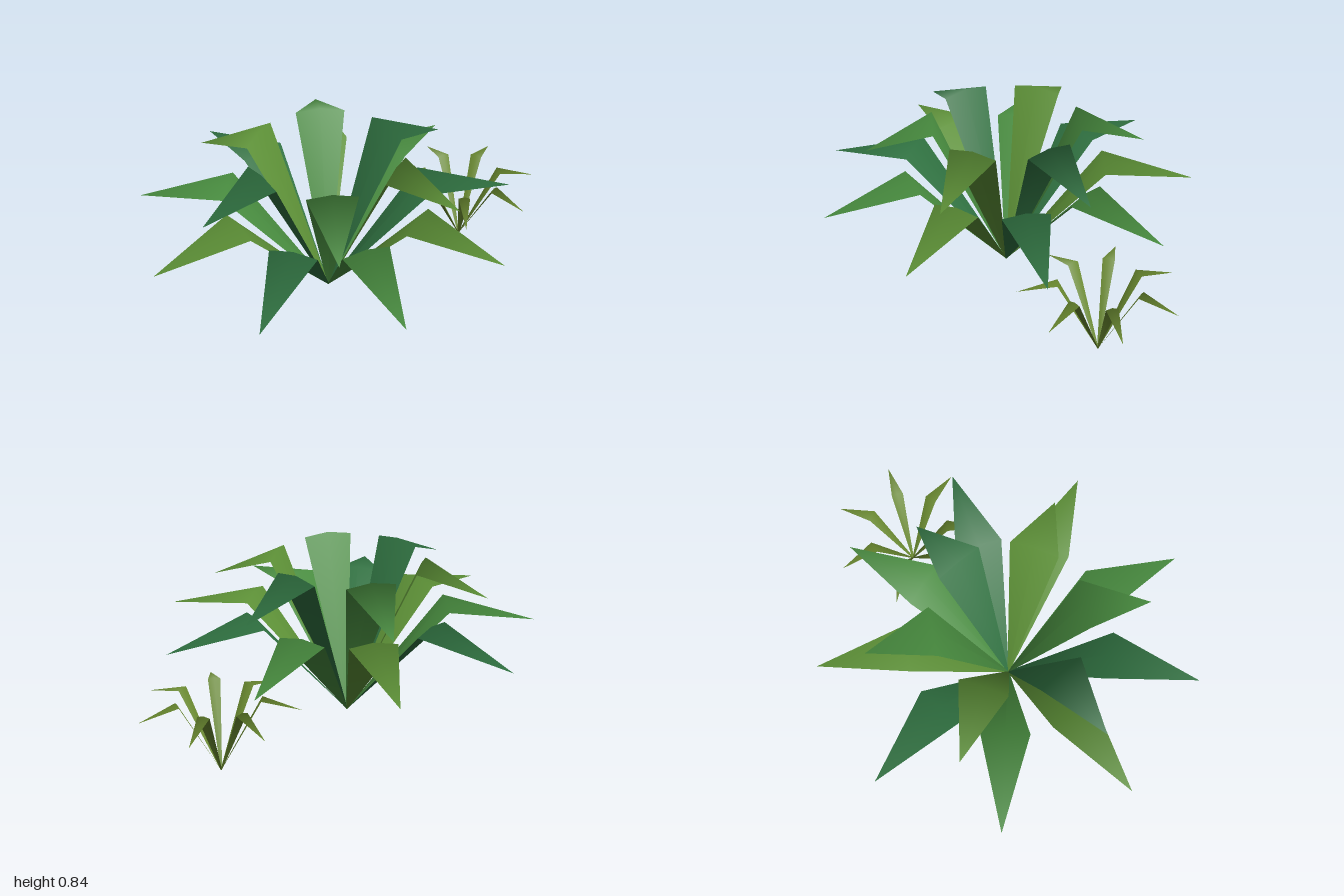
import * as THREE from 'three';

// One folded leaf growing along +x: a narrow foot, a wide bend with a raised rib, then a drooping tip
function leafGeometry({ bendR, bendY, half, rib, tipR, tipY }) {
  const foot = 0.004;
  const rows = [
    [[0, 0, -foot], [0, 0, 0], [0, 0, foot]],
    [[bendR, bendY - rib, -half], [bendR, bendY, 0], [bendR, bendY - rib, half]],
    [[tipR, tipY, 0], [tipR, tipY, 0], [tipR, tipY, 0]],
  ];
  const index = [];
  for (let r = 0; r < 2; r++) {
    for (let c = 0; c < 2; c++) {
      const a = r * 3 + c, b = a + 1, d = a + 3, e = a + 4;
      index.push(a, b, d);
      if (r === 0) index.push(b, e, d); // the tip row closes to a point
    }
  }
  // blade triangles reach the single tip point
  index.splice(index.length - 6, 6, 3, 4, 7, 4, 5, 7);
  const geometry = new THREE.BufferGeometry();
  geometry.setAttribute('position', new THREE.Float32BufferAttribute(rows.flat(2), 3));
  geometry.setIndex(index);
  geometry.computeVertexNormals();
  return geometry;
}

// A ring of equal leaves, cycling through the given materials
function leafRing(name, count, startDeg, shape, materials) {
  const ring = new THREE.Group();
  ring.name = name;
  const geometry = leafGeometry(shape);
  for (let i = 0; i < count; i++) {
    const leaf = new THREE.Mesh(geometry, materials[i % materials.length]);
    leaf.name = 'leaf';
    leaf.rotation.y = -(THREE.MathUtils.degToRad(startDeg) + (i * Math.PI * 2) / count);
    ring.add(leaf);
  }
  return ring;
}

export function createModel() {
  const model = new THREE.Group();
  model.name = 'leafyPlants';
  const green = (color) => new THREE.MeshStandardMaterial({ color, side: THREE.DoubleSide });
  const greens = [green(0x2f7040), green(0x5c8f36), green(0x478a3e)];
  const olive = [green(0x68872f)];

  // Large plant: wide lower ring and taller inner ring
  const large = new THREE.Group();
  large.name = 'largePlant';
  large.position.set(-0.143, 0.025, 0);
  large.add(
    leafRing('lowerLeaves', 9, 0,
      { bendR: 0.475, bendY: 0.578, half: 0.115, rib: 0.018, tipR: 0.913, tipY: 0.467 }, greens),
    leafRing('upperLeaves', 6, -23,
      { bendR: 0.35, bendY: 0.815, half: 0.118, rib: 0.018, tipR: 0.67, tipY: 0.665 }, greens),
  );

  // Small plant beside it
  const small = new THREE.Group();
  small.name = 'smallPlant';
  small.position.set(0.617, 0, -0.281);
  small.add(leafRing('smallLeaves', 7, 0,
    { bendR: 0.195, bendY: 0.38, half: 0.029, rib: 0.008, tipR: 0.378, tipY: 0.32 }, olive));

  model.add(large, small);
  return model;
}
